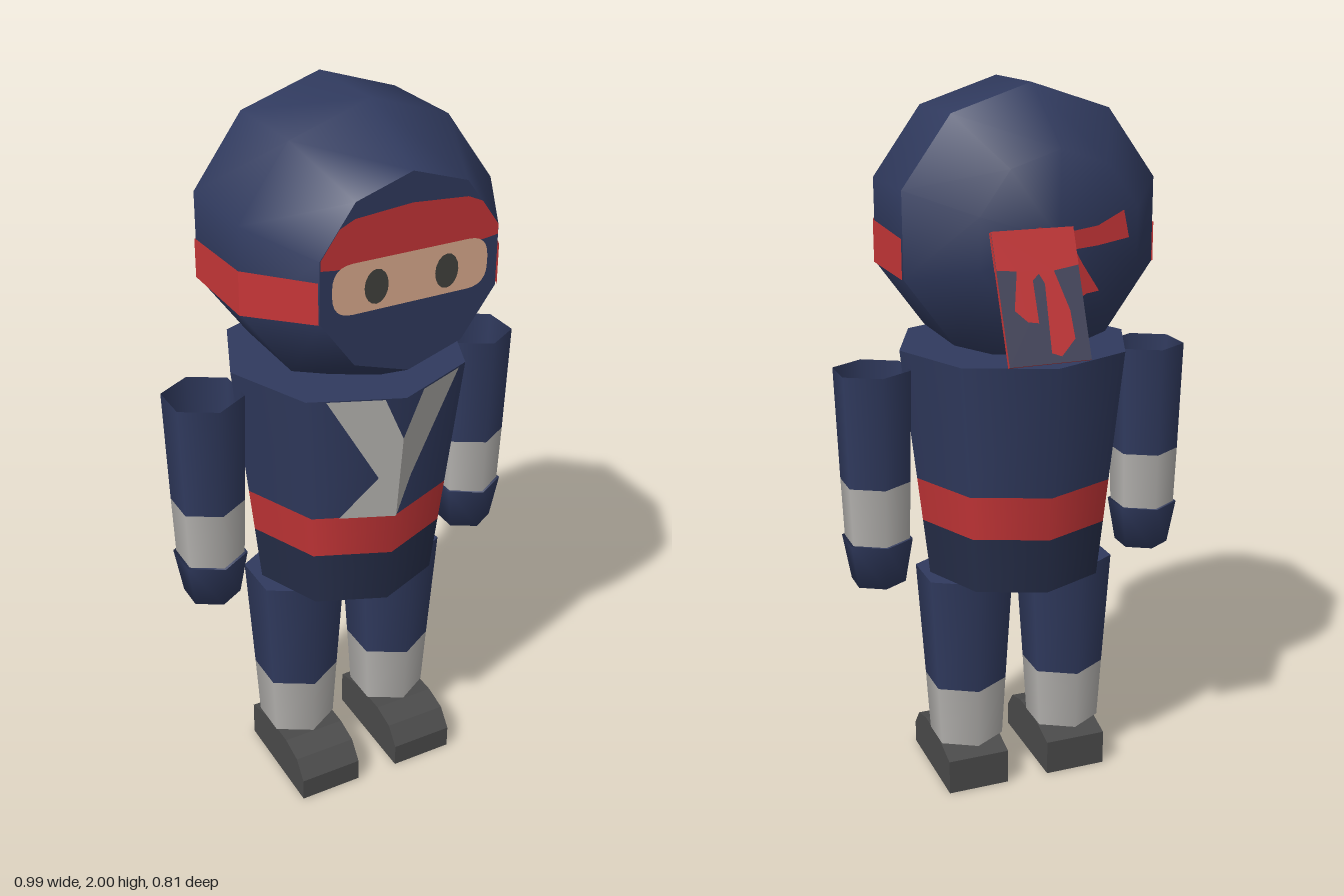
import * as THREE from 'three';

const mat = (name, color) => {
  const m = new THREE.MeshStandardMaterial({ color, side: THREE.DoubleSide });
  m.name = name;
  return m;
};

export function createModel() {
  const navy = mat('navy cloth', 0x303a5e);
  const darkNavy = mat('dark navy cloth', 0x262e49);
  const red = mat('red cloth', 0xc43537);
  const grey = mat('grey wrap', 0xb2b0ad);
  const skin = mat('skin', 0xdcac8e);
  const shoe = mat('shoe grey', 0x4a4a4a);
  const eyeDark = mat('eye dark', 0x42423e);
  const flapCloth = mat('flap cloth', 0x45465c);

  const model = new THREE.Group();
  model.name = 'hoodedFigure';
  const CZ = 0.08; // body axis depth

  const add = (name, geo, material, parent = model) => {
    const mesh = new THREE.Mesh(geo, material);
    mesh.name = name;
    parent.add(mesh);
    return mesh;
  };
  // Upright tapered prism between two heights
  const prism = (name, y0, y1, r0, r1, sides, material, x = 0, open = false, parent = model) => {
    const geo = new THREE.CylinderGeometry(r1, r0, y1 - y0, sides, 1, open);
    geo.translate(x, (y0 + y1) / 2, CZ);
    return add(name, geo, material, parent);
  };
  const outline = (pts) => new THREE.Shape(pts.map(([x, y]) => new THREE.Vector2(x, y)));
  const plate = (pts) => new THREE.ShapeGeometry(outline(pts));

  // ---------- Head: ten-sided body along z, tapered at both ends ----------
  const HY = 1.635, R = 0.365, FR = 0.252, BR = 0.221;
  const V = (x, y) => new THREE.Vector2(x, y);
  const headSection = (name, profile) => {
    const geo = new THREE.LatheGeometry(profile, 10);
    geo.rotateX(Math.PI / 2).translate(0, HY, 0);
    add(name, geo, navy);
  };
  headSection('hood', [V(R, -0.05), V(R, 0.205), V(FR, 0.405)]);
  headSection('hoodBack', [V(0, -0.245), V(BR, -0.245), V(R, -0.05)]);
  add('hoodFront', new THREE.CircleGeometry(FR, 10, Math.PI / 2).translate(0, HY, 0.405), navy);

  // Face opening and eyes
  const face = new THREE.Shape();
  const w = 0.21, y0 = 1.566, y1 = 1.694, r = 0.055;
  face.moveTo(-w + r, y0);
  face.lineTo(w - r, y0);
  face.quadraticCurveTo(w, y0, w, y0 + r);
  face.lineTo(w, y1 - r);
  face.quadraticCurveTo(w, y1, w - r, y1);
  face.lineTo(-w + r, y1);
  face.quadraticCurveTo(-w, y1, -w, y1 - r);
  face.lineTo(-w, y0 + r);
  face.quadraticCurveTo(-w, y0, -w + r, y0);
  add('face', new THREE.ShapeGeometry(face, 6).translate(0, 0, 0.409), skin);
  for (const s of [-1, 1]) {
    const eye = add(s > 0 ? 'leftEye' : 'rightEye', new THREE.CircleGeometry(1, 16), eyeDark);
    eye.scale.set(0.032, 0.044, 1);
    eye.position.set(s * 0.095, 1.626, 0.412);
  }

  // Headband: brow piece, then side pieces following the hood
  add('browBand', plate([[-0.238, 1.69], [-0.2, 1.685], [0.2, 1.685], [0.238, 1.69], [0.238, 1.715],
    [0.19, 1.782], [0.15, 1.8], [0, 1.812], [-0.15, 1.8], [-0.19, 1.782], [-0.238, 1.715]])
    .translate(0, 0, 0.407), red);
  for (const s of [-1, 1]) {
    const rings = [[0.244, 1.557, 1.662, 0.406], [0.351, 1.522, 1.637, 0.206], [0.351, 1.522, 1.627, -0.05]];
    const pos = [];
    for (let i = 0; i < 2; i++) {
      const [a, b] = [rings[i], rings[i + 1]];
      const lowA = [s * a[0], a[1], a[3]], topA = [s * a[0], a[2], a[3]];
      const lowB = [s * b[0], b[1], b[3]], topB = [s * b[0], b[2], b[3]];
      const tris = s > 0 ? [lowA, lowB, topB, lowA, topB, topA] : [lowA, topB, lowB, lowA, topA, topB];
      pos.push(...tris.flat());
    }
    const geo = new THREE.BufferGeometry();
    geo.setAttribute('position', new THREE.Float32BufferAttribute(pos, 3));
    geo.computeVertexNormals();
    add(s > 0 ? 'leftSideBand' : 'rightSideBand', geo, red);
  }

  // Knot ends on the back of the hood
  add('knotSideTail', plate([[0.06, 1.67], [-0.03, 1.655], [-0.1, 1.665], [-0.17, 1.7], [-0.185, 1.63],
    [-0.1, 1.615], [0.06, 1.6]]).translate(0, 0, -0.249), red);
  add('knotLowerTail', plate([[0.05, 1.65], [-0.02, 1.64], [-0.06, 1.57], [-0.105, 1.5], [-0.07, 1.495],
    [-0.04, 1.475], [-0.015, 1.55], [0.05, 1.6]]).translate(0, 0, -0.249), red);

  // Hanging flap with painted ribbon tails on both faces
  const flap = new THREE.Group();
  flap.name = 'backFlap';
  flap.position.set(0.087, 1.517, -0.333);
  flap.rotation.x = 0.39;
  model.add(flap);
  add('flapPanel', new THREE.BoxGeometry(0.214, 0.33, 0.012),
    [red, red, red, red, flapCloth, flapCloth], flap);
  for (const z of [-0.008, 0.008]) {
    add('flapRibbon', plate([[-0.107, 0.165], [0.107, 0.165], [0.107, 0.07], [0.056, 0.065], [0.075, -0.03],
      [0.045, -0.06], [0.017, -0.065], [0.018, 0.04], [0, 0.055], [-0.012, 0.03], [-0.005, -0.14],
      [-0.03, -0.15], [-0.071, -0.11], [-0.068, -0.04], [-0.04, 0.06], [-0.107, 0.07]])
      .translate(0, 0, z), red, flap);
  }

  // ---------- Torso: eight-sided taper cut into coloured bands ----------
  const torsoR = (y) => 0.2525 + (0.325 - 0.2525) * (y - 0.655) / 0.65;
  const band = (name, a, b, m) => prism(name, a, b, torsoR(a), torsoR(b), 8, m);
  band('chest', 0.94, 1.305, navy);
  band('belt', 0.815, 0.94, red);
  band('lowerJacket', 0.655, 0.815, darkNavy);

  // Crossed collar, laid on the two front faces
  const collar = (name, pts) => {
    const geo = plate(pts);
    const p = geo.attributes.position;
    for (let i = 0; i < p.count; i++) {
      const x = p.getX(i), y = p.getY(i);
      p.setZ(i, CZ + torsoR(y) - Math.abs(x) * Math.tan(Math.PI / 8) + 0.004);
    }
    geo.computeVertexNormals();
    add(name, geo, grey);
  };
  collar('collarLeft', [[0, 0.94], [0.045, 1.05], [0.2, 1.304], [0.063, 1.304], [0, 1.185]]);
  collar('collarRight', [[0, 0.94], [0, 1.185], [-0.05, 1.304], [-0.185, 1.304], [-0.05, 1.065], [-0.137, 0.94]]);

  // ---------- Limbs ----------
  const shoeShape = outline([[-0.03, 0], [0.298, 0], [0.298, 0.066], [0.258, 0.117], [0.19, 0.135],
    [0.08, 0.135], [-0.03, 0.102]]);
  for (const s of [-1, 1]) {
    const side = s > 0 ? 'left' : 'right';

    // Arm: open sleeve, wrist wrap and closed hand
    const arm = new THREE.Group();
    arm.name = side + 'Arm';
    model.add(arm);
    const ax = s * 0.403;
    prism(side + 'Sleeve', 0.95, 1.262, 0.098, 0.107, 6, navy, ax, true, arm);
    prism(side + 'WristWrap', 0.785, 0.95, 0.092, 0.098, 6, grey, ax, true, arm);
    const hand = new THREE.LatheGeometry([V(0, 0.657), V(0.077, 0.657), V(0.1, 0.785)], 6);
    add(side + 'Hand', hand.translate(ax, 0, CZ), navy, arm);

    // Leg: trouser, ankle wrap and shoe
    const leg = new THREE.Group();
    leg.name = side + 'Leg';
    model.add(leg);
    const lx = s * 0.152;
    prism(side + 'Trouser', 0.315, 0.654, 0.118, 0.14, 6, navy, lx, false, leg);
    prism(side + 'AnkleWrap', 0.135, 0.315, 0.107, 0.118, 6, grey, lx, false, leg);
    const sg = new THREE.ExtrudeGeometry(shoeShape, { depth: 0.18, bevelEnabled: false });
    sg.translate(0, 0, -0.09).rotateY(-Math.PI / 2).translate(lx, 0, 0);
    add(side + 'Shoe', sg, shoe, leg);
  }

  return model;
}
